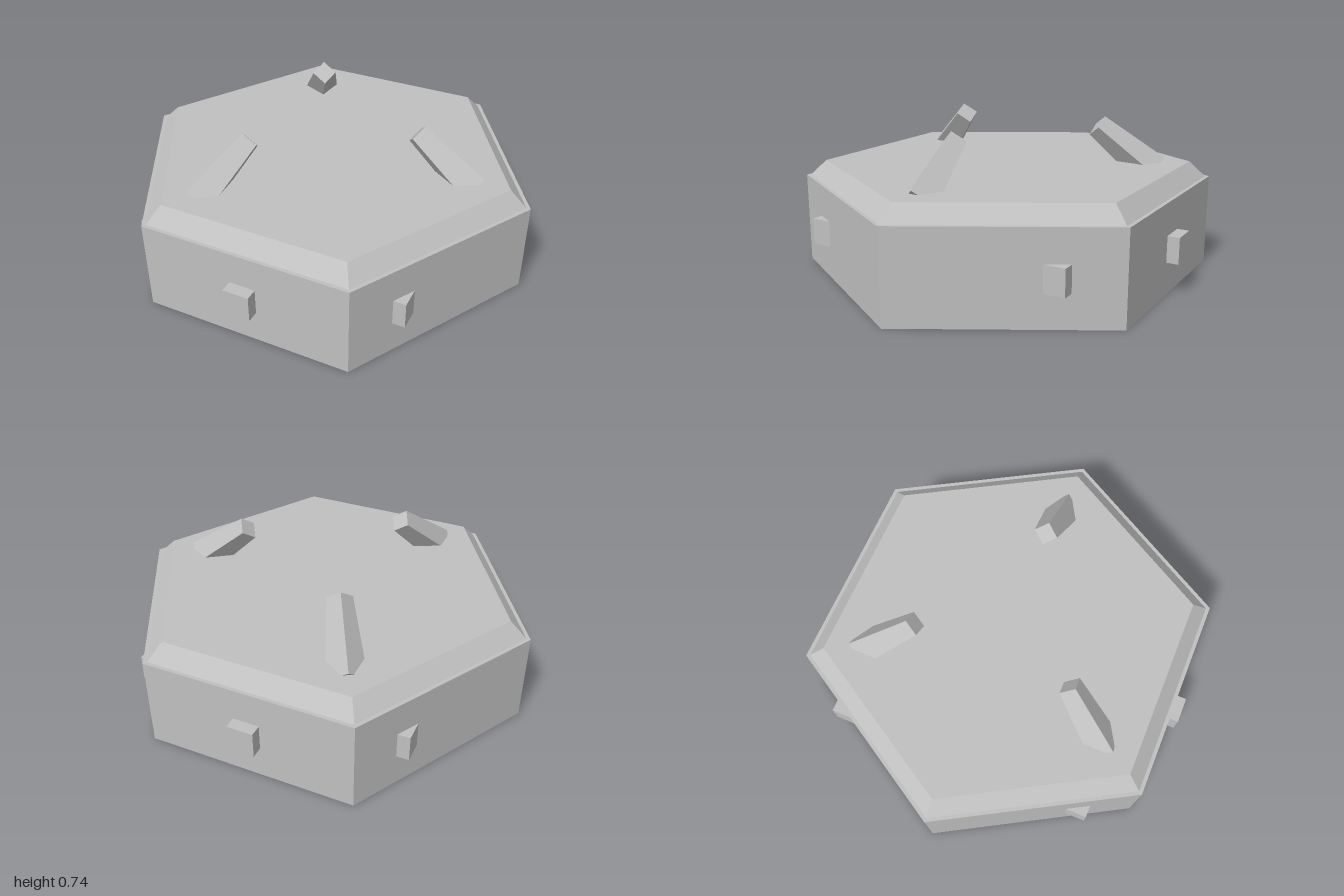
import * as THREE from 'three';

export function createModel() {
  const model = new THREE.Group();
  model.name = 'hexagonalBase';
  const grey = new THREE.MeshStandardMaterial({ color: 0xc0c0c0 });
  grey.name = 'plain grey';

  const add = (name, geometry, parent = model) => {
    // unshared vertices keep every face flat
    const flat = geometry.toNonIndexed();
    flat.computeVertexNormals();
    const mesh = new THREE.Mesh(flat, grey);
    mesh.name = name;
    parent.add(mesh);
    return mesh;
  };

  // Six-sided prism with corners on the x axis
  const hexPrism = (name, topRadius, bottomRadius, y0, y1) => {
    const g = new THREE.CylinderGeometry(topRadius, bottomRadius, y1 - y0, 6);
    g.rotateY(Math.PI / 2).translate(0, (y0 + y1) / 2, 0);
    return add(name, g);
  };
  hexPrism('body', 1, 1, 0, 0.438);
  hexPrism('bevelledLid', 0.9, 0.98, 0.438, 0.513);

  // Square studs on a ring of eight; the two on the x axis lie inside the body
  for (let i = 0; i < 8; i++) {
    if (i % 4 === 0) continue;
    const a = (i * Math.PI) / 4;
    const stud = add('stud', new THREE.BoxGeometry(0.125, 0.125, 0.125));
    stud.position.set(0.86 * Math.cos(a), 0.22, 0.86 * Math.sin(a));
  }

  // Three tapered prongs leaning in towards the centre
  for (let i = 0; i < 3; i++) {
    const arm = new THREE.Group();
    arm.name = 'prongArm';
    arm.rotation.y = (i * Math.PI * 2) / 3;
    const prong = add('prong', new THREE.CylinderGeometry(0.058, 0.09, 0.36, 4), arm);
    prong.position.set(0.58, 0.577, 0);
    prong.rotation.z = THREE.MathUtils.degToRad(50.5);
    model.add(arm);
  }
  return model;
}
